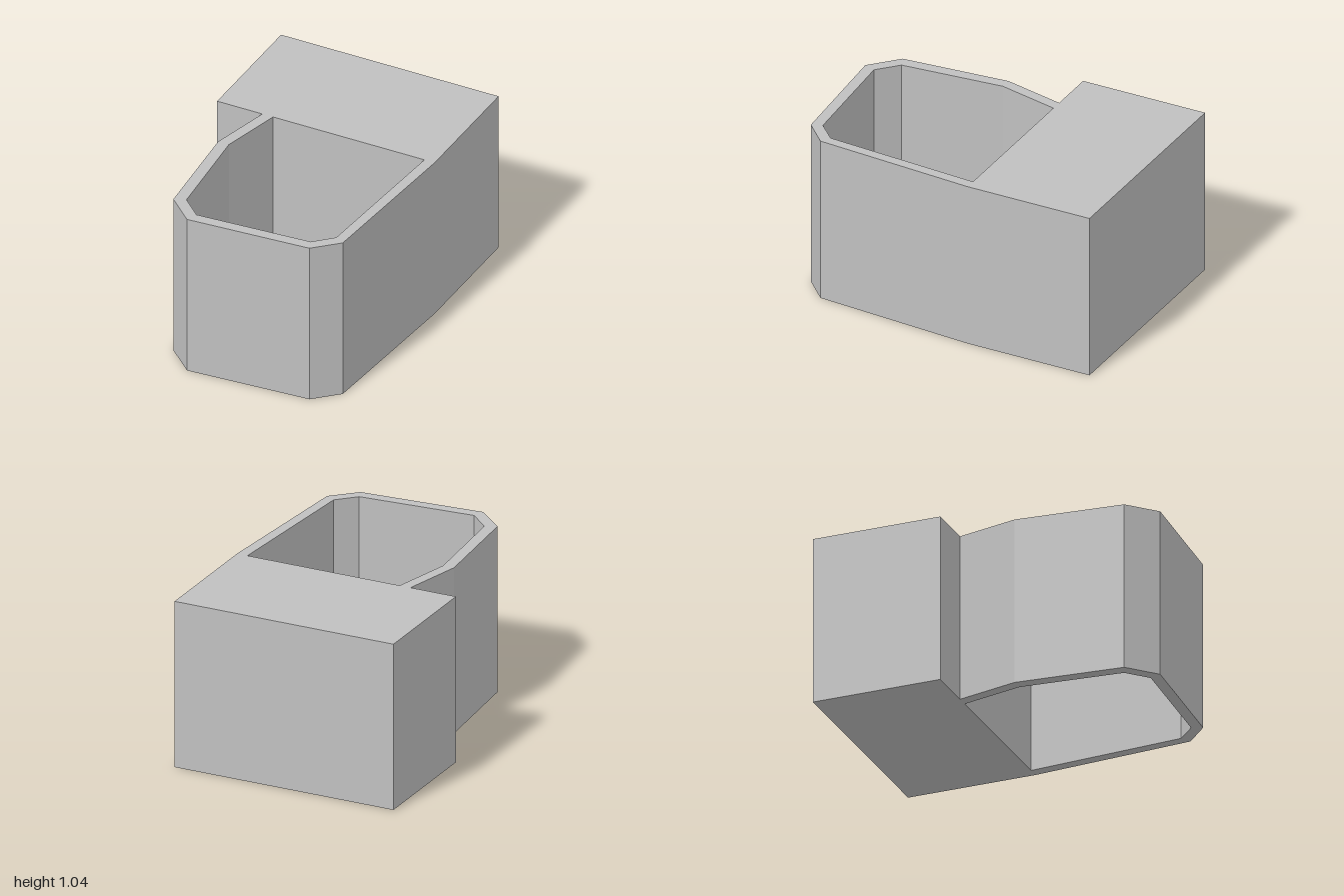
import * as THREE from 'three';

const HEIGHT = 1.04;

export function createModel() {
  const model = new THREE.Group();
  const grey = new THREE.MeshStandardMaterial({ color: 0xc0c0c0 });
  grey.name = 'grey';

  // Solid block at the back
  const block = new THREE.Mesh(new THREE.BoxGeometry(1.42, HEIGHT, 0.8), grey);
  block.name = 'backBlock';
  block.position.set(0, HEIGHT / 2, -0.6);
  model.add(block);

  // Thin wall, open above and below, running around the front: plan points are (x, z)
  const outer = [
    [-0.415, -0.2], [-0.505, 0.18], [-0.45, 0.845], [-0.28, 1],
    [0.49, 0.945], [0.635, 0.805], [0.71, -0.2],
  ];
  const inner = [
    [-0.345, -0.2], [-0.435, 0.18], [-0.38, 0.815], [-0.255, 0.93],
    [0.465, 0.88], [0.575, 0.77], [0.643, -0.2],
  ];
  const plan = [...outer, ...inner.reverse()].map(([x, z]) => new THREE.Vector2(x, z));
  const wallGeometry = new THREE.ExtrudeGeometry(new THREE.Shape(plan), {
    depth: HEIGHT,
    bevelEnabled: false,
  });
  wallGeometry.rotateX(Math.PI / 2).translate(0, HEIGHT, 0);
  const wall = new THREE.Mesh(wallGeometry, grey);
  wall.name = 'frontWall';
  model.add(wall);

  return model;
}
